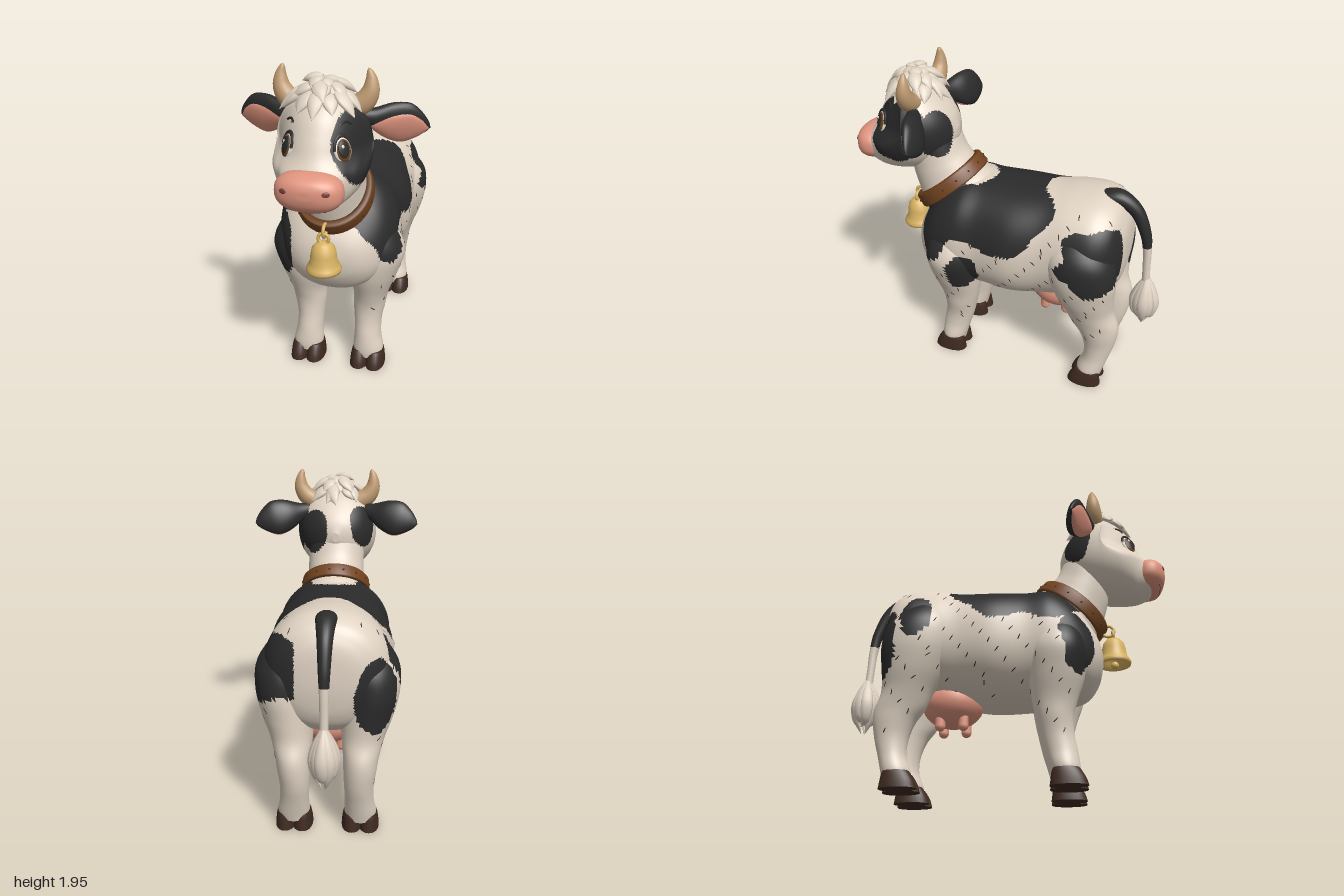
import * as THREE from 'three';

const V = (x, y, z) => new THREE.Vector3(x, y, z);
const mat = (name, color) => Object.assign(new THREE.MeshStandardMaterial({ color }), { name });
const cream = mat('cream', 0xdfd2c2), black = mat('black', 0x2b2b2c), pink = mat('pink', 0xe0957f);
const leather = mat('leather', 0x734420), hoofBrown = mat('hoofBrown', 0x3f2a21), gold = mat('gold', 0xd9b363);
const hornTan = mat('hornTan', 0xc09b72), eyeWhite = mat('eyeWhite', 0xf0eae0), iris = mat('iris', 0x6b431f);
const darkPink = mat('darkPink', 0x7a4036);

function add(parent, name, geometry, material, pos = [0, 0, 0], scale = [1, 1, 1]) {
  const mesh = Object.assign(new THREE.Mesh(geometry, material), { name });
  mesh.position.set(...pos);
  mesh.scale.set(...scale);
  parent.add(mesh);
  return mesh;
}
function group(parent, name, pos = [0, 0, 0]) {
  const g = Object.assign(new THREE.Group(), { name });
  g.position.set(...pos);
  parent.add(g);
  return g;
}
const ball = new THREE.SphereGeometry(1, 24, 16), bead = new THREE.SphereGeometry(1, 6, 4);

// Smooth skin through oval sections [x, y, z, radius along side, radius across], with sharp end caps
function loft(rows, { rings = 16, sides = 12, side = V(1, 0, 0), axis = null, q = 1 } = {}) {
  const path = new THREE.CatmullRomCurve3(rows.map(r => V(r[0], r[1], r[2])), false, 'catmullrom');
  const size = new THREE.CatmullRomCurve3(rows.map(r => V(r[3], r[4], 0)), false, 'catmullrom');
  const pos = [], index = [], bend = v => Math.sign(v) * Math.pow(Math.abs(v), q);
  for (let i = 0; i <= rings; i++) {
    const c = path.getPoint(i / rings), r = size.getPoint(i / rings), n = axis || path.getTangent(i / rings);
    const u = n.clone().cross(side).normalize(), s = u.clone().cross(n).normalize();
    for (let j = 0; j < sides; j++) {
      const w = j / sides * Math.PI * 2, a = i * sides + j, b = i * sides + (j + 1) % sides;
      const p = c.clone().addScaledVector(s, bend(Math.cos(w)) * Math.max(r.x, 0.0005));
      pos.push(...p.addScaledVector(u, bend(Math.sin(w)) * Math.max(r.y, 0.0005)).toArray());
      if (i < rings) index.push(a, b, a + sides, b, b + sides, a + sides);
    }
  }
  for (const end of [0, rings]) {
    const start = pos.length / 3;
    for (let j = 0; j < sides; j++) {
      const k = (end * sides + j) * 3, a = start + j, b = start + (j + 1) % sides;
      pos.push(pos[k], pos[k + 1], pos[k + 2]);
      index.push(start + sides, ...(end ? [a, b] : [b, a]));
    }
    pos.push(...path.getPoint(end / rings).toArray());
  }
  const g = new THREE.BufferGeometry();
  g.setAttribute('position', new THREE.Float32BufferAttribute(pos, 3));
  g.setIndex(index);
  g.computeVertexNormals();
  return g;
}

// Coat spots: outlines in (z, y) on one flank, beyond a least distance from the middle
const outline = (side, minX, pts) => ({ side, minX,
  loop: new THREE.CatmullRomCurve3(pts.map(p => V(p[0], p[1], 0)), true).getPoints(70) });
const flankSpots = [
  outline(1, 0, [[.5, 1], [.48, .87], [.42, .77], [.345, .835], [.27, .955], [.17, .985], [.08, .945], [-.07, .935], [-.205, .985],
    [-.26, 1.08], [-.34, 1.17], [-.36, 1.23], [-.33, 1.268], [-.21, 1.3], [-.16, 1.36], [0, 1.36], [.05, 1.283], [.2, 1.262], [.35, 1.24], [.48, 1.12]]),
  outline(-1, 0, [[.44, 1.1], [.39, 1.03], [.25, .97], [.1, 1.02], [-.1, .98], [-.22, 1.08], [-.34, 1.18],
    [-.36, 1.23], [-.33, 1.268], [-.21, 1.3], [-.16, 1.36], [0, 1.36], [.05, 1.283], [.2, 1.262], [.38, 1.22]]),
  outline(1, .1, [[.27, .8], [.2, .86], [.11, .84], [.09, .72], [.16, .62], [.25, .61], [.28, .69]]),
  outline(1, .17, [[-.45, 1.13], [-.6, 1.185], [-.74, 1.17], [-.81, 1.03], [-.77, .88], [-.68, .79], [-.58, .81], [-.5, .88], [-.42, .93], [-.46, 1.02]]),
];
// Coat spots: ovals in space [x, y, z, rx, ry, rz]
const ovalSpots = [
  [-.31, .83, .41, .105, .2, .15], [-.27, .86, -.71, .13, .22, .12], [-.4, 1.03, -.54, .14, .17, .1],
  [.205, 1.575, .66, .155, .2, .22], [.18, 1.57, .38, .13, .16, .12], [-.2, 1.6, .42, .12, .15, .11],
];
function inSpot(p) {
  const z = p.z + .005 * Math.sin(p.y * 38), y = p.y + .005 * Math.sin(p.z * 41 + 1);
  if (ovalSpots.some(o => ((p.x - o[0]) / o[3]) ** 2 + ((y - o[1]) / o[4]) ** 2 + ((z - o[2]) / o[5]) ** 2 < 1)) return true;
  return flankSpots.some(({ side, minX, loop }) => p.x * side >= minX && loop.reduce((inside, b, i) => {
    const a = loop[Math.max(i - 1, 0)];
    return (a.y > y) !== (b.y > y) && z < a.x + (y - a.y) / (b.y - a.y) * (b.x - a.x) ? !inside : inside;
  }, false));
}

// Sort the faces into a cream and a black group
function paint(geometry, test = inSpot) {
  const idx = geometry.index.array, at = geometry.attributes.position, sets = [[], []], v = V(0, 0, 0);
  for (let i = 0; i < idx.length; i += 3) {
    const c = V(0, 0, 0);
    for (let k = 0; k < 3; k++) c.add(v.fromBufferAttribute(at, idx[i + k]));
    sets[test(c.divideScalar(3)) ? 1 : 0].push(idx[i], idx[i + 1], idx[i + 2]);
  }
  geometry.setIndex(sets[0].concat(sets[1]));
  geometry.addGroup(0, sets[0].length, 0);
  geometry.addGroup(sets[0].length, sets[1].length, 1);
  return geometry;
}

// First point hit by a ray, and a group standing on the surface there
const hitAt = (meshes, from, dir) => new THREE.Raycaster(from, dir).intersectObjects(meshes)[0];
const onFront = (mesh, x, y) => hitAt([mesh], V(x, y, 3), V(0, 0, -1));
function mount(parent, name, hit) {
  const g = group(parent, name, hit.point.toArray());
  g.lookAt(hit.point.clone().add(hit.face.normal));
  return g;
}

export function createModel() {
  const cow = new THREE.Group(), coat = [cream, black], furry = [];
  cow.name = 'cow';
  const addCoat = (name, geometry) => furry.push(add(cow, name, paint(geometry), coat));
  const sweep = r => [0, (r[1] + r[2]) / 2, r[0], r[3], (r[1] - r[2]) / 2];

  // Trunk and neck: trunk rows are [z, top, bottom, half width]
  const trunk = [[-.785, .99, .97, .01], [-.775, 1.12, .85, .14], [-.75, 1.2, .74, .23], [-.7, 1.27, .66, .31], [-.6, 1.31, .6, .36],
    [-.45, 1.31, .59, .36], [-.3, 1.29, .56, .352], [-.1, 1.28, .53, .38], [.1, 1.28, .53, .355], [.25, 1.28, .54, .365],
    [.38, 1.2, .56, .335], [.48, 1.07, .6, .27], [.545, .96, .69, .18], [.57, .88, .78, .08], [.573, .84, .82, .01]];
  addCoat('trunk', loft(trunk.map(sweep), { rings: 130, sides: 120, axis: V(0, 0, 1), q: .92 }));
  addCoat('neck', loft([[0, .92, .22, .3, .32], [0, 1.08, .3, .255, .275], [0, 1.19, .385, .197, .224],
    [0, 1.32, .45, .185, .19], [0, 1.45, .48, .185, .155], [0, 1.6, .5, .17, .13]], { rings: 44, sides: 72 }));

  // Head, its upper face rounded back around the eyes
  const skull = [[.33, 1.56, 1.5, .02], [.36, 1.64, 1.42, .11], [.42, 1.72, 1.36, .19], [.5, 1.79, 1.3, .24], [.6, 1.82, 1.265, .265],
    [.7, 1.795, 1.25, .26], [.77, 1.73, 1.245, .227], [.82, 1.64, 1.245, .185], [.86, 1.55, 1.26, .16], [.9, 1.48, 1.28, .13], [.92, 1.42, 1.32, .05]];
  const headShape = loft(skull.map(sweep), { rings: 80, sides: 100, axis: V(0, 0, 1), q: .92 }), at = headShape.attributes.position;
  const ramp = THREE.MathUtils.smoothstep;
  for (let i = 0; i < at.count; i++)
    at.setZ(i, at.getZ(i) - 2.4 * at.getX(i) ** 2 * ramp(at.getY(i), 1.45, 1.58) * ramp(at.getZ(i), .56, .76));
  headShape.computeVertexNormals();
  addCoat('head', headShape);
  const head = furry[2];
  const muzzle = add(cow, 'muzzle', loft([[0, 1.395, .83, .16, .095], [0, 1.395, .87, .178, .105], [0, 1.395, .915, .178, .105],
    [0, 1.395, .955, .155, .092], [0, 1.4, .983, .11, .066], [0, 1.405, .998, .05, .03], [0, 1.405, 1, .002, .001]],
    { rings: 32, sides: 44, axis: V(0, 0, 1), q: .82 }), pink);
  const lip = [-.1, -.06, -.02, .02, .06, .1].map(x => onFront(muzzle, x, 1.308 + x * x * .6).point);
  add(cow, 'mouth', new THREE.TubeGeometry(new THREE.CatmullRomCurve3(lip), 30, .0025, 6), darkPink);

  // Leg rows, top to bottom
  const frontRows = [[.2, 1.03, .3, .06, .07], [.215, .93, .3, .14, .14], [.235, .8, .295, .168, .17], [.21, .65, .285, .155, .165],
    [.2, .5, .27, .11, .13], [.19, .4, .268, .1, .108], [.185, .3, .28, .086, .098], [.188, .2, .303, .084, .092],
    [.195, .11, .32, .095, .084], [.195, .06, .325, .085, .075]];
  const hindRows = [[.22, 1.15, -.5, .08, .1], [.24, 1.0, -.53, .16, .2], [.25, .85, -.55, .16, .213], [.225, .7, -.57, .15, .185],
    [.205, .58, -.6, .125, .155], [.195, .48, -.64, .105, .15], [.19, .4, -.67, .096, .124], [.185, .3, -.68, .086, .098],
    [.188, .2, -.668, .084, .082], [.195, .11, -.64, .093, .086], [.195, .06, -.635, .085, .078]];
  for (const s of [1, -1]) {
    // Legs with cloven hooves
    for (const [kind, rows, z] of [['front', frontRows, .337], ['hind', hindRows, -.613]]) {
      addCoat(kind + 'Leg', loft(rows.map(([x, ...rest]) => [x * s, ...rest]), { rings: 52, sides: 44, axis: V(0, -1, 0) }));
      for (const d of [-.05, .05]) {
        const x = s * .195 + d;
        add(cow, kind + 'Hoof', loft([[x, .1, z - .015, .045, .074], [x, .08, z - .011, .051, .085], [x, .04, z - .003, .057, .099],
          [x, 0, z, .06, .108]], { rings: 8, sides: 24, axis: V(0, -1, 0), q: .9 }), hoofBrown);
      }
    }

    // Eyes, brows and nostrils
    const eye = mount(cow, 'eye', onFront(head, s * .142, 1.582));
    add(eye, 'eyeball', ball, eyeWhite, [0, 0, 0], [.052, .07, .02]);
    add(eye, 'iris', ball, iris, [0, -.003, .01], [.042, .058, .014]);
    add(eye, 'pupil', ball, black, [-s * .003, .001, .0165], [.033, .047, .0105]);
    add(eye, 'glint', ball, eyeWhite, [-.01, .017, .025], [.008, .01, .004]);
    add(eye, 'eyelid', new THREE.TorusGeometry(.051, .008, 8, 24, Math.PI), black, [0, 0, .006], [1, 1.38, 1]);
    const brow = mount(cow, 'brow', onFront(head, s * .145, 1.69));
    add(brow, 'browArc', new THREE.TorusGeometry(.05, .007, 6, 14, 1.7), black, [0, -.03, 0]).rotation.z = Math.PI / 2 - .85;
    add(mount(cow, 'nostril', onFront(muzzle, s * .11, 1.42)), 'nostrilHole', ball, darkPink, [0, 0, 0], [.02, .014, .005]);

    // Horns and ears are shaped once and mirrored
    const pair = group(cow, 'hornAndEar');
    pair.scale.x = s;
    add(pair, 'horn', loft([[.15, 1.74, .555, .06, .062], [.205, 1.775, .555, .055, .058], [.238, 1.83, .553, .045, .048],
      [.242, 1.89, .55, .03, .032], [.232, 1.935, .55, .014, .015], [.226, 1.95, .55, .002, .002]],
      { rings: 24, sides: 20, side: V(0, 0, 1) }), hornTan);
    const ear = group(pair, 'ear', [.19, 1.685, .525]), leaf = { rings: 28, sides: 28, side: V(0, 1, 0), axis: V(1, 0, 0) };
    ear.rotation.set(.32, .35, -.2, 'YZX');
    add(ear, 'earBack', loft([[0, 0, 0, .045, .038], [.06, 0, -.004, .06, .046], [.15, 0, -.02, .1, .052], [.24, 0, -.022, .112, .047],
      [.31, 0, -.012, .076, .032], [.355, 0, -.003, .034, .014], [.373, 0, 0, .003, .003]], leaf), black);
    add(ear, 'earInner', loft([[.03, -.016, .018, .012, .014], [.08, -.02, .018, .045, .026], [.16, -.024, .014, .08, .028],
      [.24, -.021, .01, .092, .026], [.31, -.011, .006, .062, .019], [.35, -.005, .003, .026, .012], [.37, 0, .001, .003, .003]], leaf), pink);
  }

  // Short dark strokes of fur on both flanks
  for (const s of [1, -1]) for (let i = 0; i < 110; i++) {
    const hit = hitAt(furry, V(s * 3, .3 + .97 * ((i * .618) % 1), -.72 + 1.2 * ((i * .7549 + .3 * s + .5) % 1)), V(-s, 0, 0));
    if (!hit || inSpot(hit.point)) continue;
    const stroke = add(mount(cow, 'furStroke', hit), 'strokeMark', bead, hoofBrown, [0, 0, 0], [.0035, .02, .002]);
    stroke.rotation.z = s * (.55 + .35 * Math.sin(i * 5.1));
  }

  // Hair: three rings of locks over the crown
  const hair = group(cow, 'hair');
  for (const [count, r0, r1, lift] of [[14, .08, .195, 0], [11, .04, .15, .016], [6, 0, .095, .03]]) for (let i = 0; i < count; i++) {
    const w = (i + .35 * Math.sin(i * 7.3 + count)) / count * Math.PI * 2 + count, wild = Math.sin(i * 4.7 + count);
    const rows = [.012, .034, .042, .03, .002].map((a, k) => {
      const r = r0 + (r1 * (1 + .1 * wild) - r0) * k / 4, turn = w + .08 * k * Math.sin(i * 2.9);
      return [r * Math.cos(turn) * 1.08, 1.868 + lift + .012 * wild - 3.2 * r * r, .59 + r * Math.sin(turn), a, a * .45 + .001];
    });
    add(hair, 'lock', loft(rows, { rings: 12, sides: 10, side: V(-Math.sin(w), 0, Math.cos(w)) }), cream);
  }

  // Tail with a tuft of locks
  add(cow, 'tail', paint(loft([[0, 1.255, -.58, .065, .05], [0, 1.28, -.69, .058, .047], [0, 1.21, -.795, .044, .042],
    [0, 1.07, -.862, .034, .034], [0, .95, -.885, .027, .027], [0, .82, -.893, .024, .024], [0, .7, -.9, .024, .024]],
    { rings: 60, sides: 20 }), p => p.y > .975), coat);
  const tuft = group(cow, 'tailTuft');
  for (let i = 0; i < 9; i++) {
    const w = i / 9 * Math.PI * 2, end = .4 + .05 * (i % 3), wide = 1 + .12 * Math.sin(i * 3.7);
    const rows = [[.012, .75, .01], [.045, .66, .03], [.064, .57, .038], [.047, .48, .028], [.014, end, .002]].map(([r, y, a]) =>
      [r * wide * Math.cos(w), y, -.905 + r * wide * Math.sin(w), a, a * .65]);
    add(tuft, 'tuftLock', loft(rows, { rings: 14, sides: 10, side: V(-Math.sin(w), 0, Math.cos(w)) }), cream);
  }

  // Udder
  add(cow, 'udder', ball, pink, [0, .565, -.355], [.175, .14, .188]);
  for (const x of [-.07, .07]) for (const z of [-.28, -.42]) add(cow, 'teat', new THREE.CapsuleGeometry(.031, .06, 6, 14), pink, [x, .445, z]);

  // Collar with studs
  const collar = group(cow, 'collar', [0, 1.19, .393]), lathe = pts => new THREE.LatheGeometry(pts.map(p => new THREE.Vector2(...p)), 48);
  collar.rotation.x = .69;
  add(collar, 'band', lathe([[.88, -.045], [1.03, -.045], [1.06, -.035], [1.03, .035], [.99, .045], [.86, .045], [.88, -.045]]), leather, [0, 0, 0], [.217, 1, .248]);
  for (let w = .2; w < 6.2; w += .4) add(collar, 'stud', bead, hoofBrown, [.2265 * Math.sin(w), 0, .259 * Math.cos(w)], [.007, .007, .007]);

  // Bell
  const bell = group(cow, 'bell', [0, 0, .645]);
  add(bell, 'bellBody', lathe([[0, .92], [.05, .89], [.065, .84], [.087, .805], [.098, .806], [.102, .822], [.094, .838], [.079, .865],
    [.074, .91], [.066, .948], [.045, .975], [.02, .986], [0, .988]]), gold);
  add(bell, 'clapper', ball, gold, [0, .803, 0], [.025, .025, .025]);
  add(bell, 'bellLoop', new THREE.TorusGeometry(.03, .01, 10, 24), gold, [0, 1.005, 0]);
  add(bell, 'collarLink', new THREE.TorusGeometry(.037, .01, 10, 24), gold, [0, 1.04, -.03]).rotation.y = Math.PI / 2;
  return cow;
}
